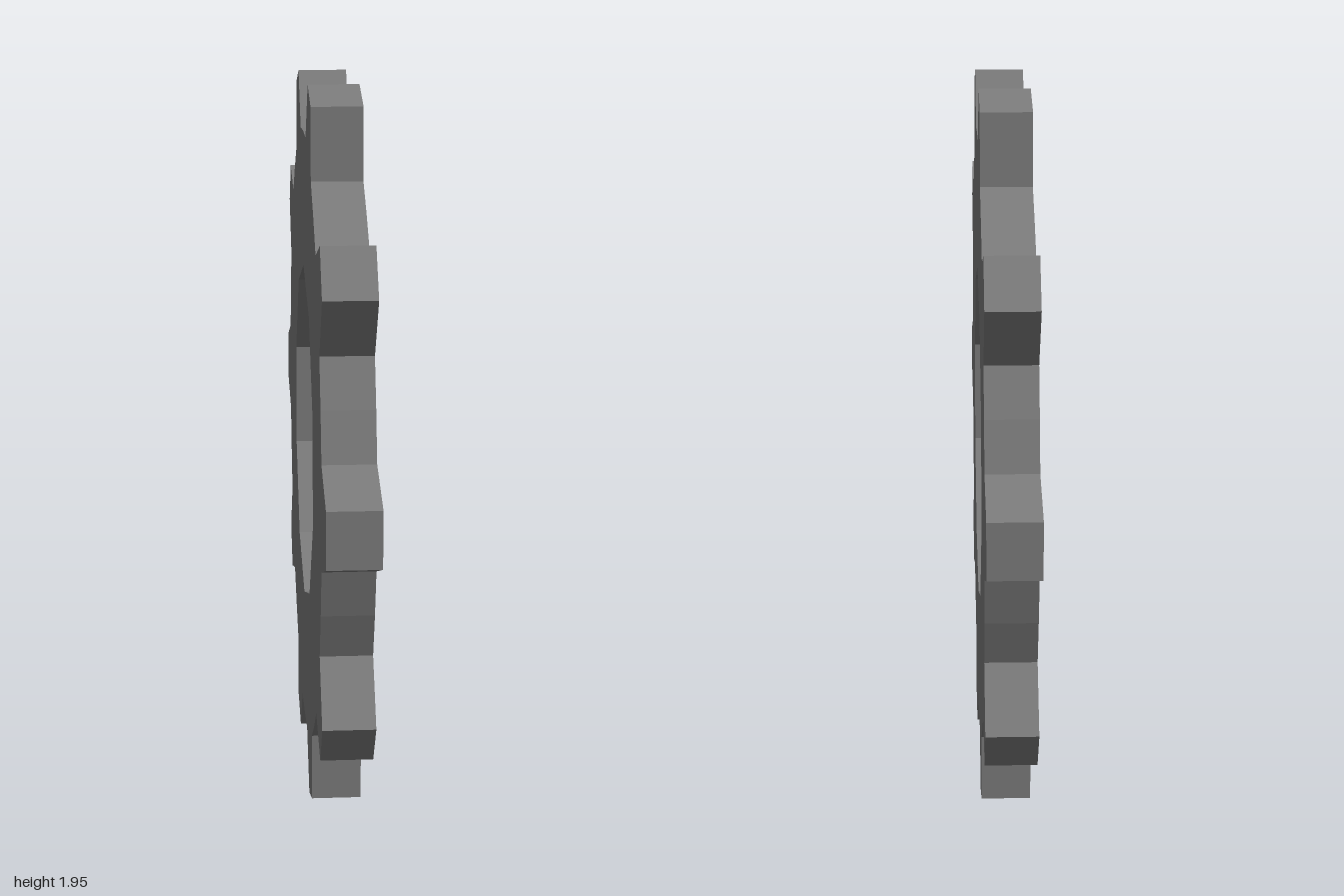
import * as THREE from 'three';

const TEETH = 10;
const STEP = (Math.PI * 2) / TEETH;
const THICKNESS = 0.132;
const CENTRE_Y = 0.973;

// Point (x, y) turned by an angle about the hub
const turn = (x, y, a) =>
  new THREE.Vector2(x, y).rotateAround(new THREE.Vector2(), a);

export function createModel() {
  const group = new THREE.Group();
  group.name = 'gear';

  // Outline: each tooth tapers from root to tip, then a valley point follows
  const outline = [];
  const bore = [];
  for (let i = 0; i < TEETH; i++) {
    const a = i * STEP;
    outline.push(
      turn(0.826, -0.133, a),
      turn(1, -0.071, a),
      turn(1, 0.071, a),
      turn(0.826, 0.133, a),
      turn(0.832, 0, a + STEP / 2)
    );
    // Ten-sided bore with a corner at the top
    bore.push(turn(0.468, 0, a + STEP / 2));
  }

  const shape = new THREE.Shape(outline);
  shape.holes.push(new THREE.Path(bore));
  const geometry = new THREE.ExtrudeGeometry(shape, {
    depth: THICKNESS,
    bevelEnabled: false,
  });
  geometry.translate(0, 0, -THICKNESS / 2);
  geometry.rotateY(Math.PI / 2); // axle runs along x

  // Dark grey wheel
  const wheel = new THREE.Mesh(
    geometry,
    new THREE.MeshStandardMaterial({ color: 0x7b7b7b, flatShading: true })
  );
  wheel.name = 'toothedWheel';
  wheel.position.y = CENTRE_Y;
  group.add(wheel);
  return group;
}
